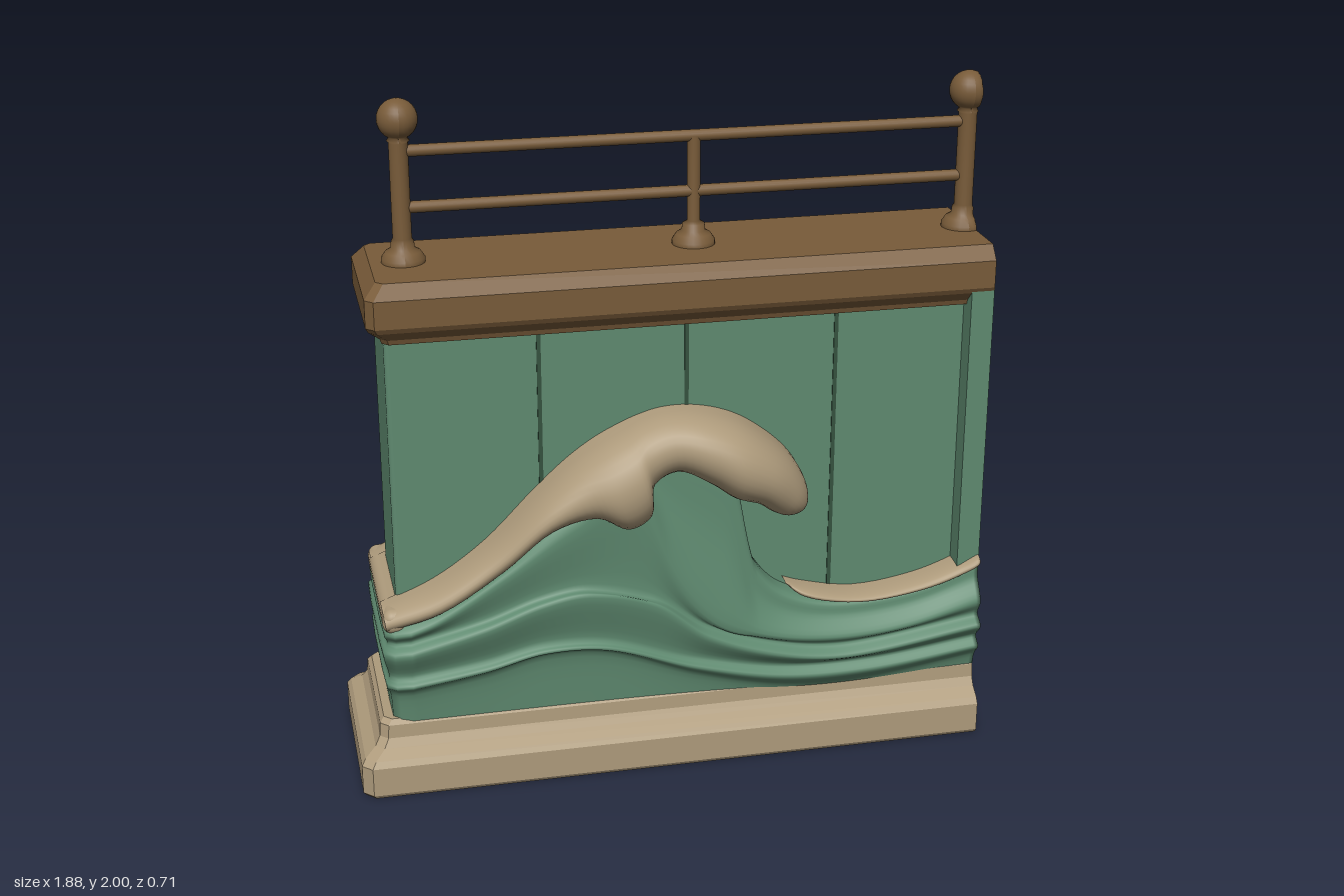
import * as THREE from 'three';
import { RoundedBoxGeometry } from 'three/addons/geometries/RoundedBoxGeometry.js';

const END = 0.935; // flat cut on the +x end
const mat = (name, color) => Object.assign(new THREE.MeshStandardMaterial({ color }), { name });

// Surface from a grid of points; f(i, j) returns [x, y, z]
function grid(nu, nv, f) {
  const pos = [], index = [];
  for (let i = 0; i <= nu; i++) for (let j = 0; j <= nv; j++) pos.push(...f(i, j));
  for (let i = 0; i < nu; i++) for (let j = 0; j < nv; j++) {
    const a = i * (nv + 1) + j, b = a + nv + 1;
    index.push(a, a + 1, b + 1, a, b + 1, b);
  }
  const g = new THREE.BufferGeometry();
  g.setAttribute('position', new THREE.Float32BufferAttribute(pos, 3));
  g.setIndex(index);
  g.computeVertexNormals();
  return g;
}

function mirrorZ(geo) {
  const g = geo.clone().scale(1, 1, -1), ix = g.index.array;
  for (let i = 0; i < ix.length; i += 3) [ix[i], ix[i + 1]] = [ix[i + 1], ix[i]];
  g.computeVertexNormals();
  return g;
}

// Smooth height curve y(x) through a few points
function heightCurve(pts) {
  const slope = (i) => {
    const a = pts[Math.max(i - 1, 0)], b = pts[Math.min(i + 1, pts.length - 1)];
    return (b[1] - a[1]) / (b[0] - a[0]);
  };
  return (x) => {
    let i = 0;
    while (i < pts.length - 2 && x > pts[i + 1][0]) i++;
    const [x0, y0] = pts[i], [x1, y1] = pts[i + 1], h = x1 - x0;
    const t = Math.min(Math.max((x - x0) / h, 0), 1), t2 = t * t, t3 = t2 * t;
    return (2 * t3 - 3 * t2 + 1) * y0 + (t3 - 2 * t2 + t) * h * slope(i)
      + (3 * t2 - 2 * t3) * y1 + (t3 - t2) * h * slope(i + 1);
  };
}

// Moulded slab: profile of [inset, y], cut flat at the +x end
function mouldedSlab(left, half, profile) {
  const g = grid(6, profile.length - 1, (i, j) => {
    const [inset, y] = profile[j], h = half - inset, x = left + inset, c = 0.1 * h;
    const [px, pz] = [[END, h], [x + c, h], [x, h - c], [x, c - h], [x + c, -h], [END, -h], [END, h]][i];
    return [px, y, pz];
  }).toNonIndexed();
  g.computeVertexNormals();
  return g;
}

// Puffy foam between upper and lower edge points: [ux, uy, lx, ly, z]
function foam(sections, zBack) {
  const up = new THREE.CatmullRomCurve3(sections.map((s) => new THREE.Vector3(s[0], s[1], s[4])));
  const low = new THREE.CatmullRomCurve3(sections.map((s) => new THREE.Vector3(s[2], s[3], s[4])));
  const n = (sections.length - 1) * 5, m = 16;
  return grid(n, m, (i, j) => {
    const p = up.getPoint(i / n), q = low.getPoint(i / n), a = (j / m) * Math.PI;
    const r = p.clone().lerp(q, (1 - Math.cos(a)) / 2);
    return [Math.min(r.x, END), r.y, zBack + (r.z - zBack) * Math.pow(Math.max(Math.sin(a), 0), 0.7)];
  });
}

// Layered water wrapped round the front, left end and back
function waterGeometry() {
  const top = heightCurve([[-0.85, 0.55], [-0.7, 0.6], [-0.55, 0.68], [-0.4, 0.83], [-0.25, 0.95], [-0.1, 1.03],
    [0.05, 1.03], [0.15, 0.97], [0.19, 0.85], [0.215, 0.72], [0.24, 0.62], [0.33, 0.52], [0.5, 0.47], [0.75, 0.49], [END, 0.56]]);
  const sweep = heightCurve([[-0.85, 0.49], [-0.7, 0.54], [-0.5, 0.66], [-0.3, 0.79], [-0.12, 0.87], [-0.02, 0.65],
    [0.05, 0.54], [0.14, 0.455], [0.3, 0.39], [0.5, 0.365], [0.7, 0.38], [END, 0.44]]);
  const upper = heightCurve([[-0.85, 0.43], [-0.57, 0.5], [-0.4, 0.56], [-0.26, 0.58], [-0.07, 0.53], [0.09, 0.41],
    [0.33, 0.325], [0.54, 0.305], [END, 0.36]]);
  const lower = heightCurve([[-0.85, 0.33], [-0.57, 0.37], [-0.39, 0.41], [-0.2, 0.4], [0.06, 0.31], [0.33, 0.25],
    [0.6, 0.245], [END, 0.285]]);
  // Path entries: x, side, share of bulge going out in x, bulge scale
  const n = 130, front = [[END, 1, 0, 0]];
  for (let i = 0; i <= n; i++) front.push([END - (i / n) * (END + 0.78), 1, 0, 1]);
  front.push([-0.8, 0.97, 0.25, 1], [-0.81, 0.88, 0.42, 1], [-0.81, 0.45, 0.45, 1]);
  const back = front.map(([x, s, e, k]) => [x, -s, e, k]).reverse();
  const path = [...front, [-0.81, 0, 0.45, 1], ...back];
  const columns = path.map(([x, side, e, k]) => {
    const t = top(x), s = sweep(x), u = upper(x), l = lower(x);
    const profile = new THREE.SplineCurve([[0.18, 0.06], [l - 0.04, 0.075], [l, 0.105], [l + 0.03, 0.083], [u, 0.118],
      [u + 0.03, 0.085], [s, 0.105], [s + (t - s) * 0.5, 0.07], [t - 0.01, 0.055], [t, -0.03]]
      .map(([y, d]) => new THREE.Vector2(d, y)));
    return profile.getPoints(45).map((p) => [x - e * p.x * k, p.y, side * (0.16 + p.x * k)]);
  });
  return grid(path.length - 1, 45, (i, j) => columns[i][j]);
}

export function createModel() {
  const model = new THREE.Group();
  const green = mat('seaGreen', 0x5f8a70), tan = mat('sandStone', 0xae9b7c);
  const brown = mat('bronzeBrown', 0x785b39), dark = mat('grooveGreen', 0x35523f);
  const add = (name, geo, material, x = 0, y = 0, z = 0) => {
    const m = new THREE.Mesh(geo, material);
    m.name = name;
    m.position.set(x, y, z);
    model.add(m);
    return m;
  };

  // Plinth, wall, end panel and coping
  add('plinth', mouldedSlab(-0.94, 0.29, [[0.29, 0], [0.008, 0], [0, 0.012], [0, 0.1], [0.012, 0.118], [0.045, 0.14],
    [0.06, 0.165], [0.063, 0.205], [0.075, 0.22], [0.29, 0.22]]), tan);
  add('wall', new RoundedBoxGeometry(1.7, 1.2, 0.32, 3, 0.015), green, 0.04, 0.78, 0);
  add('endPanel', new THREE.BoxGeometry(0.068, 1.45, 0.444), green, 0.903, 0.725, 0);
  add('coping', mouldedSlab(-0.86, 0.228, [[0.228, 1.36], [0.045, 1.36], [0.04, 1.375], [0.008, 1.405], [0, 1.42],
    [0, 1.5], [0.035, 1.54], [0.228, 1.54]]), brown);

  // Panel joints on both faces
  for (const side of [1, -1]) for (const x of [-0.38, 0.045, 0.485])
    add('panelJoint', new THREE.BoxGeometry(0.012, 0.92, 0.006), dark, x, 0.9, side * 0.16);

  // Water and foam
  add('water', waterGeometry(), green);
  const crest = foam([[-0.855, 0.57, -0.845, 0.5, 0.25], [-0.7, 0.635, -0.69, 0.55, 0.28], [-0.55, 0.74, -0.5, 0.67, 0.29],
    [-0.4, 0.89, -0.36, 0.785, 0.315], [-0.3, 0.98, -0.23, 0.81, 0.33], [-0.22, 1.035, -0.14, 0.765, 0.35],
    [-0.15, 1.07, -0.075, 0.8, 0.345], [-0.1, 1.09, -0.07, 0.89, 0.32], [-0.03, 1.108, 0, 0.93, 0.315],
    [0.07, 1.107, 0.1, 0.885, 0.34], [0.18, 1.075, 0.17, 0.835, 0.355], [0.28, 1.01, 0.24, 0.81, 0.34],
    [0.35, 0.94, 0.28, 0.78, 0.315], [0.392, 0.865, 0.32, 0.76, 0.285], [0.402, 0.81, 0.35, 0.763, 0.25],
    [0.385, 0.78, 0.375, 0.775, 0.16]], 0.15);
  const ripple = foam([[0.34, 0.535, 0.34, 0.525, 0.2], [0.4, 0.515, 0.39, 0.485, 0.235], [0.56, 0.485, 0.56, 0.452, 0.245],
    [0.75, 0.508, 0.76, 0.47, 0.245], [0.87, 0.548, 0.88, 0.505, 0.245], [END, 0.58, END, 0.535, 0.245],
    [END, 0.56, END, 0.555, 0.16]], 0.15);
  add('frontCrestFoam', crest, tan);
  add('backCrestFoam', mirrorZ(crest), tan);
  add('frontRippleFoam', ripple, tan);
  add('backRippleFoam', mirrorZ(ripple), tan);
  add('endFoam', new RoundedBoxGeometry(0.07, 0.075, 0.5, 4, 0.03), tan, -0.822, 0.54, 0);

  // Railing: ball-topped posts, middle post and two rails
  const lathe = (pts) => new THREE.LatheGeometry(pts.map(([r, y]) => new THREE.Vector2(r, y)), 28);
  const foot = [[0.062, 0], [0.062, 0.012], [0.05, 0.03], [0.034, 0.04], [0.032, 0.06]];
  const ball = [];
  for (let i = 0; i <= 12; i++) {
    const a = -1.1 + (i / 12) * (Math.PI / 2 + 1.1);
    ball.push([0.057 * Math.cos(a), 0.405 + 0.057 * Math.sin(a)]);
  }
  for (const x of [-0.73, 0.91]) {
    const g = lathe([...foot, [0.027, 0.068], [0.027, 0.34], [0.032, 0.345], ...ball]);
    const p = g.attributes.position;
    for (let i = 0; i < p.count; i++) p.setX(i, Math.min(p.getX(i), END - x));
    g.computeVertexNormals();
    add('ballPost', g, brown, x, 1.54, 0);
  }
  add('middlePost', lathe([...foot, [0.019, 0.068], [0.019, 0.315]]), brown, 0.1, 1.54, 0);
  for (const y of [1.855, 1.695])
    add('rail', new THREE.CylinderGeometry(0.017, 0.017, 1.64, 16), brown, 0.09, y, 0).rotation.z = Math.PI / 2;

  return model;
}
